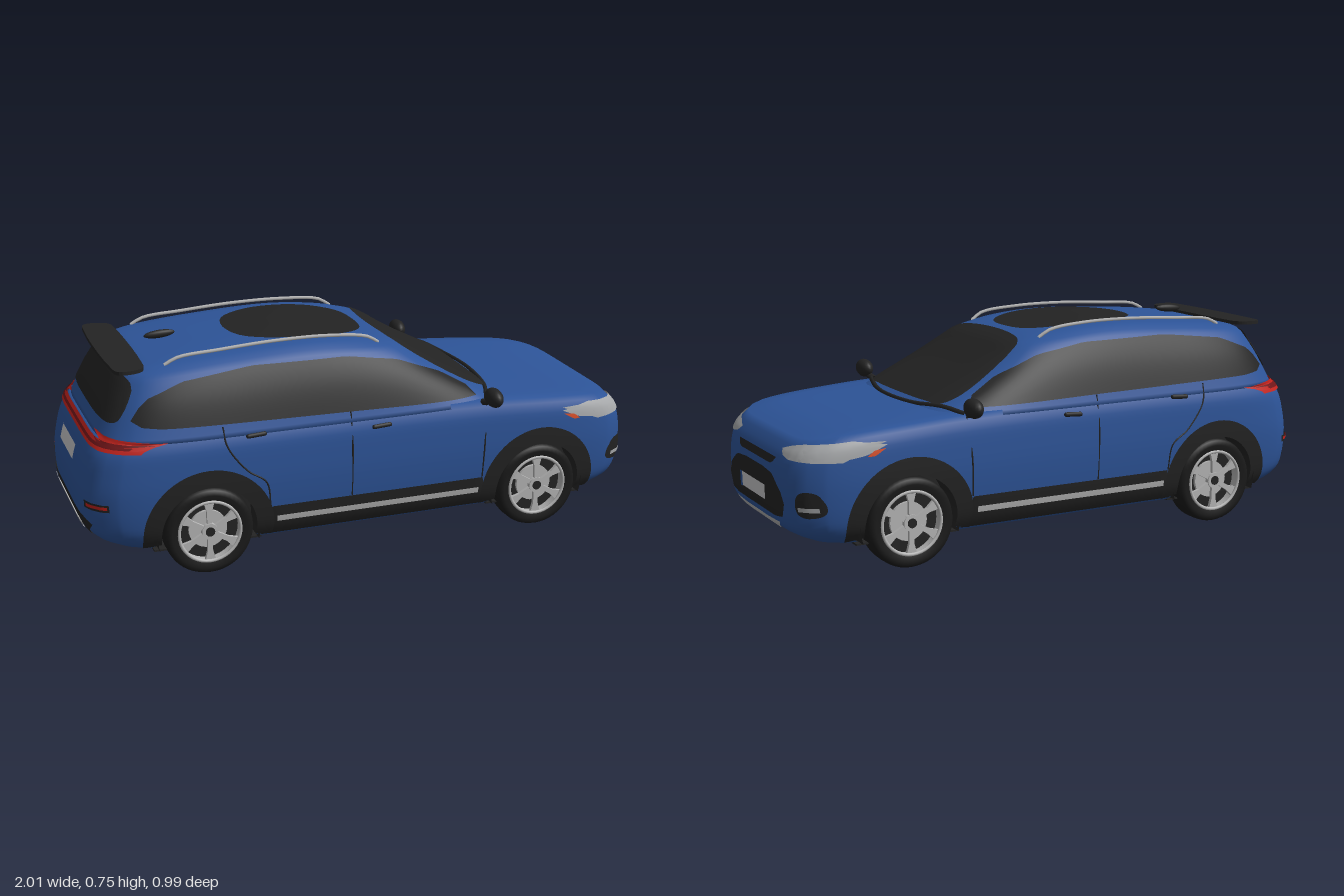
import * as THREE from 'three';

const V = (x, y, z) => new THREE.Vector3(x, y, z);
const mat = (name, color) => Object.assign(
  new THREE.MeshStandardMaterial({ color, side: THREE.DoubleSide }), { name });
const M = {
  paint: mat('bluePaint', 0x2d5498), black: mat('blackTrim', 0x232323), tyre: mat('tyreRubber', 0x1a1a1a),
  silver: mat('silver', 0xb4b4b4), lamp: mat('lampGlass', 0xa6a8aa), red: mat('redLamp', 0xc0221c),
  orange: mat('orangeIndicator', 0xd8502a), plate: mat('plateWhite', 0xc8c8ca), darkRed: mat('darkRedLamp', 0x6e1518),
};

// Smooth interpolation through rows of [t, value, value, ...]
function curve(rows, t) {
  const last = rows.length - 1;
  t = Math.min(Math.max(t, rows[0][0]), rows[last][0]);
  let i = 0;
  while (i < last - 1 && t > rows[i + 1][0]) i++;
  const a = rows[i], b = rows[i + 1], p = rows[Math.max(i - 1, 0)], n = rows[Math.min(i + 2, last)];
  const h = b[0] - a[0], f = (t - a[0]) / h;
  return a.slice(1).map((v, k) => {
    const m0 = h * (b[k + 1] - p[k + 1]) / (b[0] - p[0]), m1 = h * (n[k + 1] - v) / (n[0] - a[0]);
    const w = b[k + 1], f2 = f * f, f3 = f2 * f;
    return v * (2 * f3 - 3 * f2 + 1) + m0 * (f3 - 2 * f2 + f) + w * (3 * f2 - 2 * f3) + m1 * (f3 - f2);
  });
}

// Stack of rounded-box rings; levels are [height share, front x, rear x, half width]
function loft(levels, base, top, { power, side, end, steps, caps, crown, skip }) {
  const rim = [];
  for (const [count, f] of [[end, t => [1, t]], [side, t => [-t, 1]], [end, t => [-1, -t]], [side, t => [t, -1]]])
    for (let i = 0; i < count; i++) rim.push(f(-1 + 2 * i / count));
  const rings = [[0, 0], [0, 0.6], [0, 0.97]];
  for (let i = 0; i <= steps; i++) rings.push([i / steps, 1]);
  for (let i = caps - 1; i >= 0; i--) rings.push([1, i / caps]);
  const pos = [], index = [], N = rim.length;
  for (const [s, q] of rings) {
    const [F, R, w] = curve(levels, s);
    for (const [u, v] of rim) {
      const d = (Math.abs(u) ** power + Math.abs(v) ** power) ** (1 / power);
      const x = (F + R) / 2 + (F - R) / 2 * q * u / d;
      const y = base + s * (curve(top, x)[0] - base) + (s === 1 ? crown * (1 - q * q) : 0);
      pos.push(x, y, w * q * v / d);
    }
  }
  for (let r = 0; r < rings.length - 1; r++) for (let i = 0; i < N; i++) {
    const a = r * N + i, b = r * N + (i + 1) % N, c = a + N, d = b + N;
    const mid = [0, 1, 2].map(k => (pos[a * 3 + k] + pos[d * 3 + k]) / 2);
    if (skip && r > 2 && skip(...mid)) continue;
    index.push(a, c, b, b, c, d);
  }
  const g = new THREE.BufferGeometry();
  g.setAttribute('position', new THREE.Float32BufferAttribute(pos, 3));
  g.setIndex(index);
  g.computeVertexNormals();
  return g;
}

const WHEELS = [-0.6, 0.605], WHEEL_Y = 0.156;
const bodyLevels = [[0, 0.9, -0.9, 0.365], [0.08, 0.955, -0.955, 0.388], [0.2, 0.985, -0.99, 0.402],
  [0.5, 0.995, -1, 0.413], [0.75, 0.99, -0.985, 0.412], [0.9, 0.97, -0.965, 0.406], [1, 0.93, -0.935, 0.388]];
const bodyTop = [[-1, 0.46], [-0.93, 0.482], [-0.7, 0.495], [0, 0.5], [0.4, 0.492], [0.6, 0.48], [0.83, 0.46], [0.94, 0.437], [1, 0.41]];
const cabinLevels = [[0, 0.51, -0.935, 0.402], [0.5, 0.3, -0.885, 0.36], [0.8, 0.19, -0.85, 0.323],
  [0.93, 0.14, -0.83, 0.297], [1, 0.08, -0.8, 0.262]];
const cabinTop = [[-0.85, 0.687], [-0.8, 0.692], [-0.5, 0.718], [-0.2, 0.73], [0.08, 0.708], [0.2, 0.7]];

export function createModel() {
  const car = new THREE.Group();
  const half = new THREE.Group();
  half.name = 'leftSide';
  const add = (name, geo, material, parent = car) => {
    const m = new THREE.Mesh(geo, material);
    m.name = name;
    parent.add(m);
    return m;
  };

  // Body shells, the lower one with open wheel arches
  const bodyOpts = { power: 7, side: 64, end: 18, steps: 22, caps: 8, crown: 0.012 };
  const inArch = (x, y, z) => Math.abs(z) > 0.3 && WHEELS.some(c => Math.hypot(x - c, y - WHEEL_Y) < 0.185);
  const cabinGeo = loft(cabinLevels, 0.48, cabinTop, { power: 6, side: 36, end: 18, steps: 16, caps: 7, crown: 0.01 });
  add('lowerBody', loft(bodyLevels, 0.1, bodyTop, { ...bodyOpts, skip: inArch }), M.paint);
  const targets = [new THREE.Mesh(loft(bodyLevels, 0.1, bodyTop, bodyOpts), M.paint), add('cabin', cabinGeo, M.paint)];

  // Drop a point on the body along an axis: side (x,y), top (x,z), front and rear (z,y)
  const views = {
    side: [V(0, 0, 1), (a, b) => V(a, b, 2)], top: [V(0, 1, 0), (a, b) => V(a, 2, b)],
    front: [V(1, 0, 0), (a, b) => V(2, b, a)], rear: [V(-1, 0, 0), (a, b) => V(-2, b, a)],
  };
  const ray = new THREE.Raycaster();
  function drop(view, a, b, lift) {
    const [dir, from] = views[view];
    ray.set(from(a, b), dir.clone().negate());
    const hit = ray.intersectObjects(targets, false)[0];
    if (!hit) return null;
    const n = hit.face.normal.clone();
    if (n.dot(dir) < 0) n.negate();
    return hit.point.addScaledVector(n, lift);
  }
  // Thin sheet that follows the body
  function patch(name, material, view, nu, nv, f, lift, parent) {
    const pos = [], ok = [], index = [];
    for (let i = 0; i <= nu; i++) for (let j = 0; j <= nv; j++) {
      const p = drop(view, ...f(i / nu, j / nv), lift);
      ok.push(!!p);
      pos.push(...(p || V(0, 0.3, 0)).toArray());
    }
    for (let i = 0; i < nu; i++) for (let j = 0; j < nv; j++) {
      const a = i * (nv + 1) + j, b = a + nv + 1;
      if (ok[a] && ok[b] && ok[a + 1] && ok[b + 1])
        index.push(...(view === 'side' || view === 'rear' ? [a, b, a + 1, b, b + 1, a + 1] : [a, a + 1, b, b, a + 1, b + 1]));
    }
    const g = new THREE.BufferGeometry();
    g.setAttribute('position', new THREE.Float32BufferAttribute(pos, 3));
    g.setIndex(index);
    g.computeVertexNormals();
    return add(name, g, material, parent);
  }
  function decal(name, material, view, pts, { nu = 14, nv = 4, lift = 0.004, round = false, parent = car } = {}) {
    const line = round ? new THREE.CatmullRomCurve3(pts.map(p => V(p[0], p[1], 0)), true).getPoints(80).map(p => [p.x, p.y]) : pts;
    const us = line.map(p => p[0]), lo = Math.min(...us) + 1e-4, hi = Math.max(...us) - 1e-4;
    const span = u => {
      const c = [];
      line.forEach((p, i) => {
        const q = line[(i + 1) % line.length];
        if ((p[0] <= u) !== (q[0] <= u)) c.push(p[1] + (q[1] - p[1]) * (u - p[0]) / (q[0] - p[0]));
      });
      return [Math.min(...c), Math.max(...c)];
    };
    return patch(name, material, view, nu, nv, (s, t) => {
      const u = lo + (hi - lo) * (round ? (1 - Math.cos(Math.PI * s)) / 2 : s), [a, b] = span(u);
      return [u, a + (b - a) * t];
    }, lift, parent);
  }
  const mirrored = pts => [...pts, ...pts.slice().reverse().map(([a, b]) => [-a, b])];
  const box = (a0, a1, b0, b1) => [[a0, b0], [a1, b0], [a1, b1], [a0, b1]];
  const tube = (name, material, pts, r, parent) =>
    add(name, new THREE.TubeGeometry(new THREE.CatmullRomCurve3(pts), 32, r, 6), material, parent);
  const seam = (name, pts) => tube(name, M.black, pts.map(p => drop('side', ...p, 0)), 0.003, half);
  const onSide = o => ({ parent: half, ...o });

  // Glass and roof
  decal('windscreen', M.black, 'front', mirrored([[0.2, 0.508], [0.285, 0.512], [0.298, 0.535], [0.272, 0.62], [0.245, 0.68], [0.2, 0.697]]), { nu: 26, nv: 14, round: true, lift: 0.005 });
  decal('rearWindow', M.black, 'rear', mirrored([[0.2, 0.53], [0.3, 0.54], [0.305, 0.57], [0.27, 0.65], [0.2, 0.668]]), { nu: 24, nv: 10, round: true, lift: 0.005 });
  decal('sideWindows', M.black, 'side', [[-0.835, 0.55], [-0.79, 0.61], [-0.66, 0.66], [-0.42, 0.688], [-0.09, 0.685], [0.09, 0.655], [0.25, 0.592], [0.37, 0.525],
    [0.375, 0.505], [0.2, 0.508], [-0.1, 0.515], [-0.42, 0.52], [-0.74, 0.525], [-0.81, 0.532]], onSide({ nu: 40, nv: 10, lift: 0.005 }));
  decal('sunroof', M.black, 'top', [[-0.43, 0], [-0.4, 0.12], [-0.3, 0.19], [-0.19, 0.205], [-0.06, 0.19], [0.03, 0.12], [0.05, 0],
    [0.03, -0.12], [-0.06, -0.19], [-0.19, -0.205], [-0.3, -0.19], [-0.4, -0.12]], { nu: 20, nv: 14, round: true });
  tube('cowlStrip', M.black, [-0.385, -0.3, -0.15, 0, 0.15, 0.3, 0.385].map(z => drop('top', 0.49 - 0.6 * z * z, z, 0.002)), 0.008);
  tube('roofRail', M.silver, [0, 0.06, 0.25, 0.5, 0.75, 0.94, 1].map((t, i) => drop('top', -0.7 + 0.75 * t, 0.25, i % 6 ? 0.017 : 0)), 0.006, half);
  const fin = add('antennaFin', new THREE.SphereGeometry(1, 16, 10), M.black);
  fin.scale.set(0.055, 0.014, 0.012);
  fin.position.set(-0.655, 0.733, 0);
  fin.rotation.z = 0.06;
  const wing = new THREE.Shape(new THREE.CatmullRomCurve3(mirrored([[0.2, -0.765], [0.27, -0.775], [0.292, -0.81], [0.288, -0.86], [0.2, -0.875]])
    .map(([z, x]) => V(x, z, 0)), true).getPoints(48).map(p => new THREE.Vector2(p.x, p.y)));
  add('rearSpoiler', new THREE.ExtrudeGeometry(wing, { depth: 0.012, bevelEnabled: false }).rotateX(Math.PI / 2), M.black).position.y = 0.707;

  // Nose
  decal('upperGrille', M.black, 'front', mirrored([[0.14, 0.346], [0.165, 0.355], [0.178, 0.371]]), { nu: 20 });
  decal('mainGrille', M.black, 'front', mirrored([[0.18, 0.18], [0.25, 0.19], [0.262, 0.235], [0.24, 0.275], [0.17, 0.318], [0.08, 0.325]]), { nu: 26, nv: 8 });
  decal('frontPlate', M.plate, 'front', box(-0.117, 0.117, 0.22, 0.27), { lift: 0.009 });
  decal('frontPlateStripe', M.paint, 'front', box(0.099, 0.119, 0.219, 0.271), { nu: 3, lift: 0.011 });
  decal('frontSkidPlate', M.silver, 'front', mirrored([[0.16, 0.13], [0.21, 0.165], [0.1, 0.16]]), { nu: 20 });
  decal('fogLampPod', M.black, 'front', [[0.32, 0.21], [0.345, 0.2], [0.37, 0.21], [0.376, 0.245], [0.365, 0.28], [0.345, 0.287], [0.322, 0.275], [0.314, 0.245]], onSide({ round: true }));
  decal('fogLamp', M.lamp, 'front', box(0.322, 0.366, 0.222, 0.236), onSide({ nu: 5, nv: 2, lift: 0.008 }));
  decal('headlampFront', M.lamp, 'front', [[0.196, 0.402], [0.22, 0.385], [0.26, 0.379], [0.395, 0.379], [0.4, 0.437], [0.3, 0.428], [0.25, 0.418]], onSide({ nu: 20, nv: 6, lift: 0.005 }));
  decal('headlampSide', M.lamp, 'side', [[0.69, 0.427], [0.76, 0.398], [0.82, 0.388], [0.97, 0.38], [0.965, 0.405], [0.9, 0.432], [0.8, 0.442]], onSide({ nu: 18, nv: 6, lift: 0.005 }));
  decal('indicator', M.orange, 'side', [[0.695, 0.417], [0.735, 0.393], [0.76, 0.394], [0.735, 0.412]], onSide({ nu: 6, lift: 0.008 }));

  // Tail
  decal('tailLampBar', M.red, 'rear', box(-0.385, 0.385, 0.45, 0.478), { nu: 30, nv: 4, lift: 0.008 });
  decal('tailLampGroove', M.darkRed, 'rear', box(-0.37, 0.37, 0.46, 0.468), { nu: 30, nv: 2, lift: 0.011 });
  decal('tailLampSide', M.red, 'side', [[-0.955, 0.455], [-0.82, 0.46], [-0.725, 0.479], [-0.83, 0.488], [-0.945, 0.495]], onSide({ nu: 16, nv: 6, lift: 0.007 }));
  decal('tailLampSideGroove', M.darkRed, 'side', [[-0.95, 0.465], [-0.76, 0.474], [-0.95, 0.477]], onSide({ nu: 12, nv: 2, lift: 0.01 }));
  decal('rearPlate', M.plate, 'rear', box(-0.115, 0.115, 0.36, 0.41), { lift: 0.008 });
  decal('rearPlateStripe', M.paint, 'rear', box(-0.117, -0.098, 0.359, 0.411), { nu: 3, lift: 0.01 });
  decal('rearBumperTrim', M.black, 'rear', mirrored([[0.24, 0.135], [0.31, 0.2], [0.26, 0.215]]), { nu: 22 });
  decal('rearSkidPlate', M.silver, 'rear', mirrored([[0.2, 0.15], [0.25, 0.185]]), { nu: 20, lift: 0.008 });
  decal('reflectorSurround', M.black, 'side', box(-0.99, -0.925, 0.255, 0.28), onSide({ nu: 8, nv: 2 }));
  decal('rearReflector', M.red, 'side', box(-0.985, -0.93, 0.264, 0.275), onSide({ nu: 8, nv: 2, lift: 0.007 }));

  // Doors and sills
  seam('centreDoorSeam', [[-0.1, 0.515], [-0.1, 0.4], [-0.1, 0.22]]);
  seam('rearDoorSeam', [[-0.545, 0.515], [-0.535, 0.45], [-0.47, 0.36], [-0.405, 0.31], [-0.39, 0.22]]);
  seam('frontDoorSeam', [[0.4, 0.485], [0.39, 0.35], [0.385, 0.22]]);
  for (const [x, y] of [[-0.435, 0.476], [0.005, 0.458]]) {
    const h = add('doorHandle', new THREE.CapsuleGeometry(0.008, 0.055, 4, 8).rotateZ(Math.PI / 2 + 0.06), M.black, half);
    h.position.copy(drop('side', x, y, 0.006));
  }
  decal('sill', M.black, 'side', [[-0.42, 0.112], [0.42, 0.112], [0.39, 0.22], [-0.39, 0.22]], onSide({ nu: 24, nv: 6, lift: 0.005 }));
  decal('sillStrip', M.silver, 'side', box(-0.37, 0.37, 0.166, 0.186), onSide({ nu: 20, nv: 2, lift: 0.011 }));

  // Door mirror
  const mirror = add('mirrorHousing', new THREE.SphereGeometry(1, 20, 14), M.black, half);
  mirror.scale.set(0.028, 0.033, 0.05);
  mirror.position.set(0.402, 0.523, 0.446);
  tube('mirrorStalk', M.black, [V(0.39, 0.49, 0.385), V(0.395, 0.497, 0.41), V(0.4, 0.51, 0.435)], 0.012, half);

  // Wheels with arches
  const tyre = new THREE.LatheGeometry([[0.106, -0.04], [0.13, -0.047], [0.146, -0.042], [0.152, -0.028], [0.153, 0],
    [0.152, 0.028], [0.146, 0.042], [0.13, 0.047], [0.106, 0.04]].map(p => new THREE.Vector2(...p)), 48).rotateX(Math.PI / 2);
  const spoke = new THREE.ExtrudeGeometry(new THREE.Shape([[-0.008, 0.015], [0.008, 0.015], [0.009, 0.07], [0.019, 0.107], [-0.019, 0.107], [-0.009, 0.07]]
    .map(p => new THREE.Vector2(...p))), { depth: 0.012, bevelEnabled: false });
  const disc = (r, depth) => new THREE.CylinderGeometry(r, r, depth, 32).rotateX(Math.PI / 2);
  for (const x of WHEELS) {
    const wheel = new THREE.Group();
    wheel.name = x > 0 ? 'frontWheel' : 'rearWheel';
    wheel.position.set(x, 0.154, 0.358);
    half.add(wheel);
    add('tyre', tyre, M.tyre, wheel);
    add('rimBarrel', new THREE.CylinderGeometry(0.107, 0.107, 0.084, 40, 1, true).rotateX(Math.PI / 2), M.silver, wheel);
    add('rimLip', new THREE.TorusGeometry(0.106, 0.006, 8, 40), M.silver, wheel).position.z = 0.04;
    add('wheelBack', disc(0.106, 0.006), M.black, wheel);
    add('brakeDisc', disc(0.066, 0.012), M.silver, wheel).position.z = 0.008;
    add('innerHub', disc(0.06, 0.03), M.silver, wheel).position.z = -0.015;
    for (let k = 0; k < 6; k++) {
      const s = add('spoke', spoke, M.silver, wheel);
      s.position.z = 0.026;
      s.rotation.z = k * Math.PI / 3;
    }
    add('hub', disc(0.028, 0.016), M.silver, wheel).position.z = 0.034;
    add('hubCap', disc(0.016, 0.006), M.black, wheel).position.z = 0.042;
    patch('archCladding', M.black, 'side', 36, 4, (s, t) => {
      const a = -0.2 + (Math.PI + 0.4) * s, r = 0.162 + 0.06 * t;
      return [x + r * Math.cos(a), Math.max(WHEEL_Y + r * Math.sin(a), 0.112)];
    }, 0.007, half);
    add('wheelWell', new THREE.CylinderGeometry(0.178, 0.178, 0.12, 36, 1, true, Math.PI - 1.87, 3.74).rotateX(Math.PI / 2), M.black, half)
      .position.set(x, WHEEL_Y, 0.335);
    add('wheelWellWall', new THREE.CircleGeometry(0.178, 36, -0.3, Math.PI + 0.6), M.black, half).position.set(x, WHEEL_Y, 0.276);
    add('wheelWellFloor', new THREE.BoxGeometry(0.37, 0.006, 0.09), M.black, half).position.set(x, 0.099, 0.325);
  }

  // Mirror the finished side
  const other = half.clone();
  other.name = 'rightSide';
  other.scale.z = -1;
  car.add(half, other);
  return car;
}
